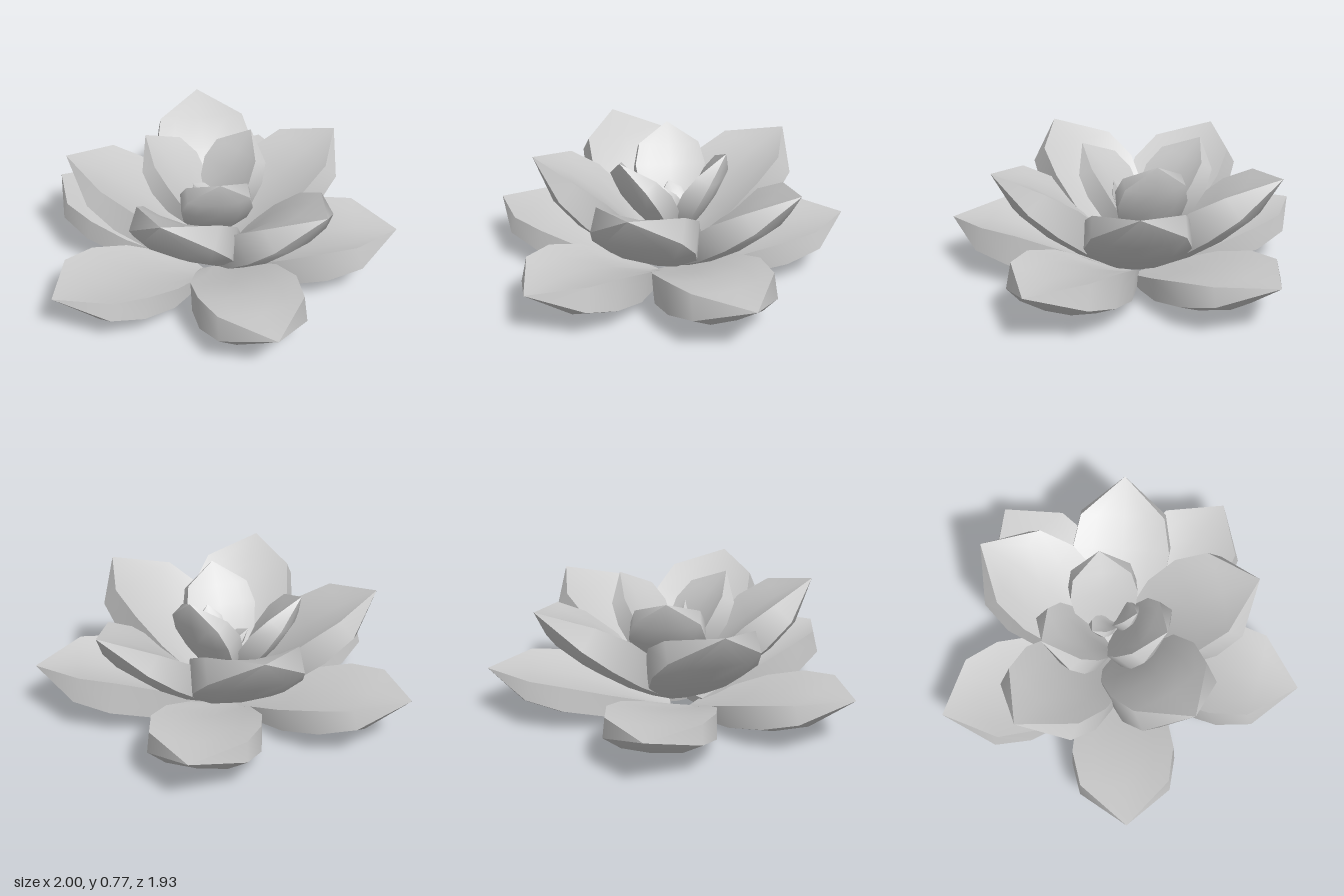
import * as THREE from 'three';
import { toCreasedNormals } from 'three/addons/utils/BufferGeometryUtils.js';

// Petal stations: along, half width, then heights off the base-tip line:
// underside centre, underside rim, upper rim, upper centre
const STATIONS = [
  [0.00, 0.09, -0.02, 0.00, 0.04, 0.04],
  [0.16, 0.17, -0.06, -0.02, 0.09, 0.05],
  [0.36, 0.26, -0.09, -0.035, 0.13, 0.08],
  [0.58, 0.29, -0.105, -0.04, 0.14, 0.09],
  [0.78, 0.25, -0.09, -0.035, 0.105, 0.065],
  [1.00, 0.00, 0.00, 0.00, 0.00, 0.00],
];
const ACROSS = [-1, -0.62, 0, 0.62, 1];

// Cupped, thick-rimmed petal running from base to tip; cup scales the upper side
function petalGeometry(base, tip, width, cup) {
  const u = tip.clone().sub(base);
  const length = u.length();
  u.normalize();
  const v = new THREE.Vector3(0, 1, 0).cross(u).normalize();
  const w = u.clone().cross(v);
  const pos = [], index = [];
  const add = (t, a, h) => {
    const p = base.clone().addScaledVector(u, t * length)
      .addScaledVector(v, a * length * width).addScaledVector(w, h * length);
    pos.push(p.x, p.y, p.z);
  };
  for (const [t, half, lowMid, lowRim, topRim, topMid] of STATIONS) {
    for (const a of ACROSS) add(t, a * half, lowMid + (lowRim - lowMid) * Math.abs(a) ** 3);
    for (const a of ACROSS) add(t, -a * half * 0.975, cup * (topMid + (topRim - topMid) * a * a));
  }
  const n = ACROSS.length * 2;
  const last = STATIONS.length - 2;
  for (let i = 0; i <= last; i++) {
    for (let j = 0; j < n; j++) {
      const k = (j + 1) % n;
      const a = i * n + j, b = i * n + k, c = (i + 1) * n + k, d = (i + 1) * n + j;
      index.push(a, b, c);
      if (i < last) index.push(a, c, d);
    }
  }
  // Blunt base end
  for (let j = 1; j < n - 1; j++) index.push(0, j + 1, j);
  const g = new THREE.BufferGeometry();
  g.setAttribute('position', new THREE.Float32BufferAttribute(pos, 3));
  g.setIndex(index);
  return toCreasedNormals(g, 0.7);
}

// Each layer: centre on the ground plan, base height and radius,
// then petal tips as x, y, z and an optional cup
const LAYERS = [
  { name: 'outerPetal', centre: [0, -0.09], baseY: 0.02, baseR: 0.08, width: 0.99,
    tips: [[0.01, 0.28, 0.96], [1, 0.29, 0.28], [0.63, 0.28, -0.97, 0.65], [-0.68, 0.28, -0.92, 0.65], [-1, 0.27, 0.24, 0.65]] },
  { name: 'middlePetal', centre: [0.03, -0.11], baseY: 0.09, baseR: 0.05, width: 1,
    tips: [[0.41, 0.71, 0.6], [0.83, 0.68, -0.28, 0.85], [0.2, 0.71, -0.93], [-0.73, 0.71, -0.44, 0.85], [-0.45, 0.76, 0.46]] },
  { name: 'innerPetal', centre: [0.03, -0.16], baseY: 0.23, baseR: 0.04, width: 1.1,
    tips: [[-0.04, 0.76, 0.2], [0.31, 0.77, -0.28], [-0.27, 0.76, -0.43]] },
  { name: 'heartPetal', centre: [0.1, -0.14], baseY: 0.32, baseR: 0.01, width: 0.85,
    tips: [[0.08, 0.6, 0], [-0.06, 0.52, -0.22]] },
];

export function createModel() {
  const group = new THREE.Group();
  group.name = 'waterLily';
  const material = new THREE.MeshStandardMaterial({ color: 0xcccccc });
  for (const { name, centre, baseY, baseR, width, tips } of LAYERS) {
    const layer = new THREE.Group();
    layer.name = name + 's';
    tips.forEach(([x, y, z, cup = 1], i) => {
      const tip = new THREE.Vector3(x, y, z);
      const base = new THREE.Vector3(centre[0], baseY, centre[1]);
      const out = tip.clone().sub(base).setY(0).normalize();
      base.addScaledVector(out, baseR);
      const mesh = new THREE.Mesh(petalGeometry(base, tip, width, cup), material);
      mesh.name = name + (i + 1);
      layer.add(mesh);
    });
    group.add(layer);
  }
  return group;
}
